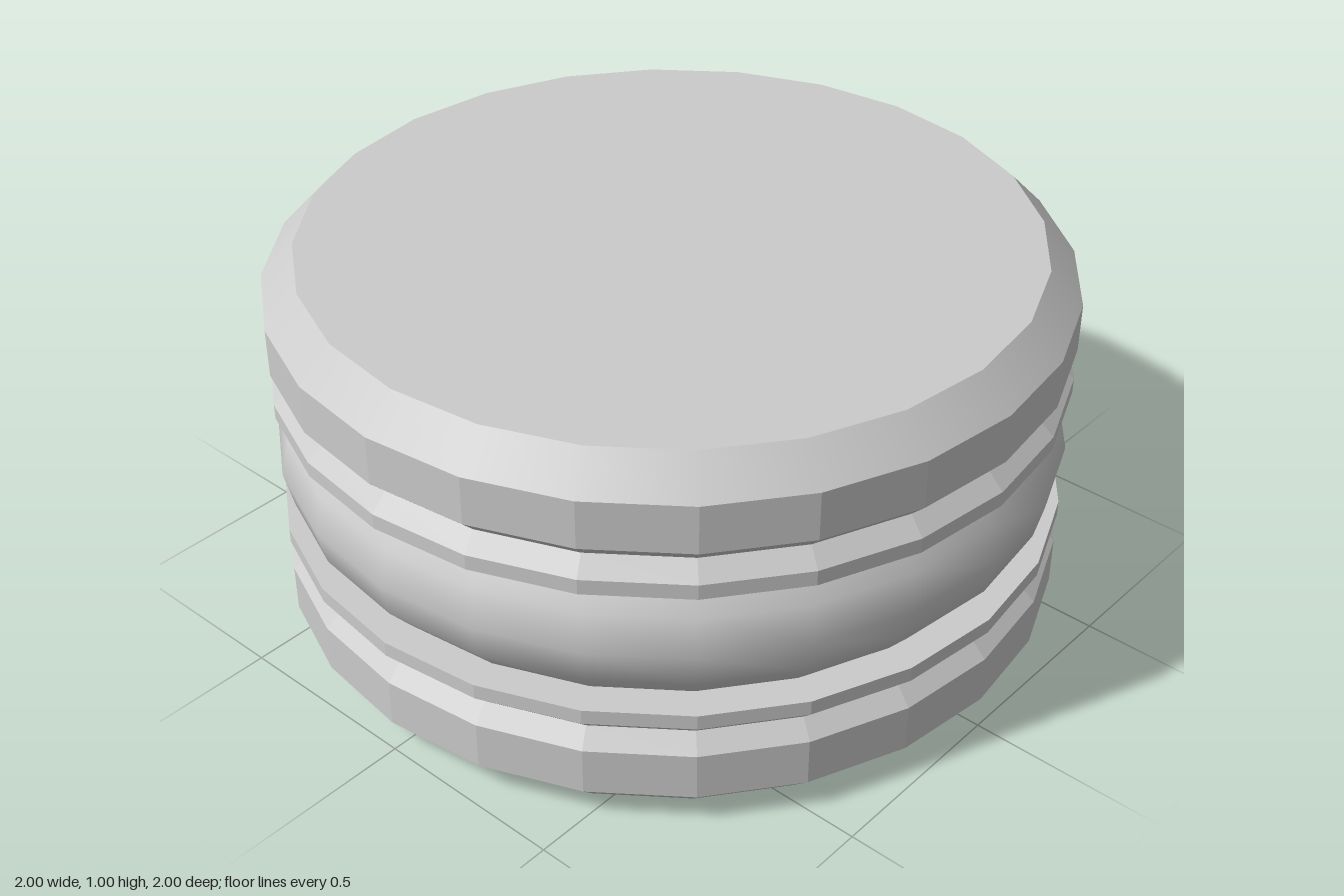
import * as THREE from 'three';

const SIDES = 24;
const smooth = new THREE.MeshStandardMaterial({ color: 0xcccccc });
const faceted = new THREE.MeshStandardMaterial({ color: 0xcccccc, flatShading: true });

// Spin a list of [radius, height] points, listed from bottom to top
function spin(name, points, material) {
  const profile = points.map(([r, y]) => new THREE.Vector2(r, y));
  const mesh = new THREE.Mesh(new THREE.LatheGeometry(profile, SIDES), material);
  mesh.name = name;
  return mesh;
}

// Flat disc closing one end
function cap(name, y, tilt) {
  const mesh = new THREE.Mesh(new THREE.CircleGeometry(0.917, SIDES).rotateX(tilt), faceted);
  mesh.position.y = y;
  mesh.name = name;
  return mesh;
}

export function createModel() {
  const model = new THREE.Group();
  model.name = 'groovedDrum';

  // Lower rim: bevel, then band, V groove, bead and inner ledge
  const bevel = [[0.917, 0], [1, 0.085]];
  const rim = [[1, 0.085], [1, 0.21], [0.958, 0.252], [1, 0.294], [1, 0.333], [0.9, 0.333]];
  // The upper rim is the same profile turned over
  const flip = (points) => points.map(([r, y]) => [r, 1 - y]).reverse();

  model.add(
    cap('bottomCap', 0, Math.PI / 2),
    spin('lowerBevel', bevel, smooth),
    spin('lowerRim', rim, faceted),
    spin('upperRim', flip(rim), faceted),
    spin('upperBevel', flip(bevel), smooth),
    cap('topCap', 1, -Math.PI / 2),
  );

  // Rounded bulge around the waist
  const bulge = [];
  const radius = 0.208, reach = 0.93;
  for (let i = -2; i <= 2; i++) {
    const a = (i / 2) * reach;
    bulge.push([1 - radius + radius * Math.cos(a), 0.5 + radius * Math.sin(a)]);
  }
  model.add(spin('waistBulge', bulge, smooth));

  return model;
}
